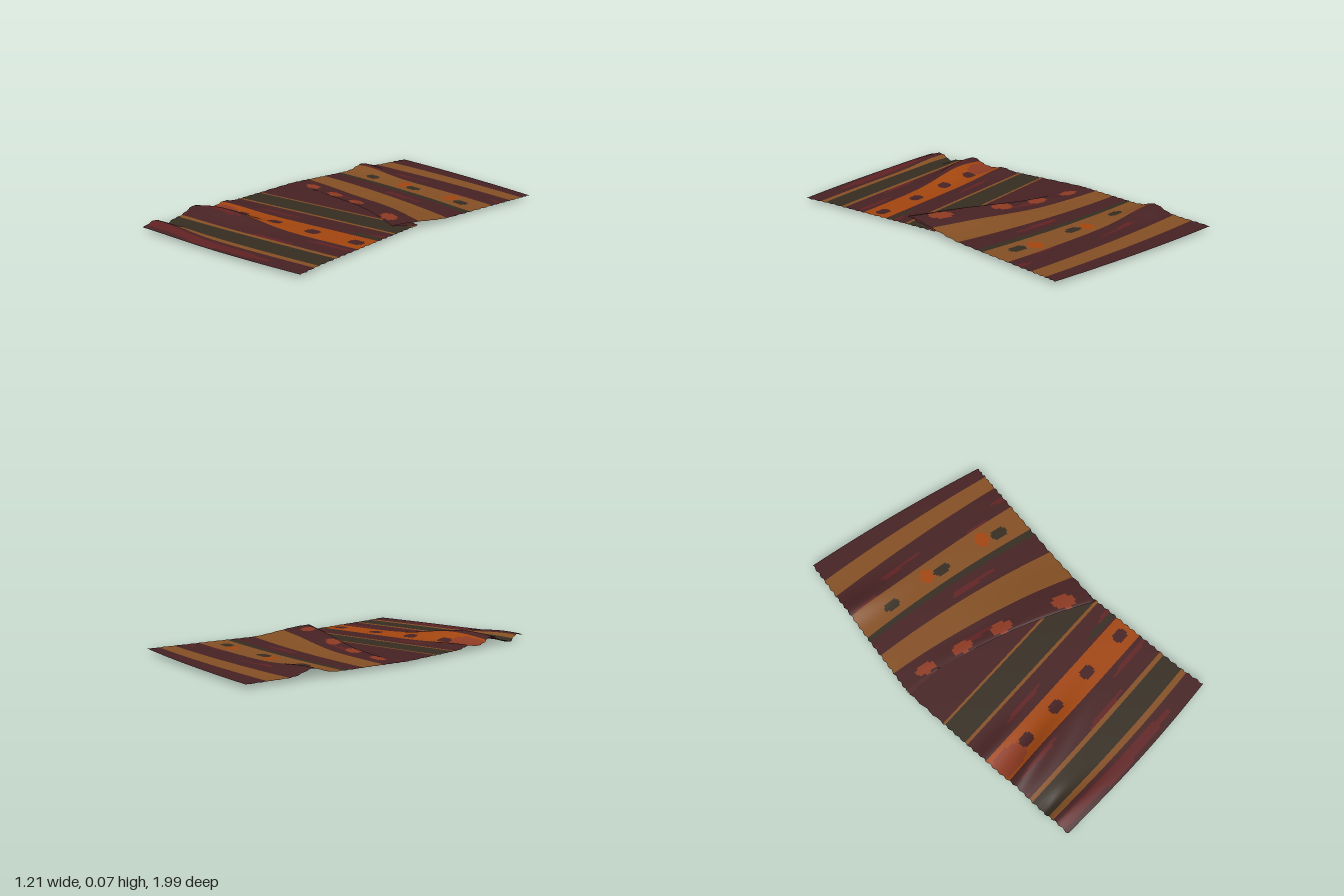
import * as THREE from 'three';

const COLORS = {
  maroon: 0x472223, darkRed: 0x612223, ochre: 0x855024,
  orange: 0xa3460f, olive: 0x362d21, rust: 0x8e3a22,
};
const NAMES = Object.keys(COLORS);
const { lerp, smoothstep } = THREE.MathUtils;
const COLS = 104;

// Height of a soft crease: ridge of height h around (cx, cz)
const crease = (x, z, cx, cz, h, w, d, slope = 0) =>
  h * Math.exp(-(((x - cx) / w) ** 2) - ((z - cz - slope * (x - cx)) / d) ** 2);

// Turned back half: t runs from the far end (0) to the pleat's lip (1)
function backPoint(u, t) {
  const tr = t - 0.58 * t * (1 - t);
  const sag = -(0.015 + 0.035 * t ** 3) * 4 * u * (1 - u);
  const x = lerp(lerp(-0.43, -0.6, t), lerp(0.6, 0.41, tr), u);
  const z = lerp(lerp(-1, -0.15, t), lerp(-0.73, 0.28, tr), u) + sag;
  const lift = 0.035 * smoothstep(u, 0.35, 0.85) * smoothstep(t, 0.72, 1);
  const y = 0.018 + lift
    + crease(x, z, -0.46, -0.65, 0.03, 0.22, 0.07, 0.2)
    + crease(x, z, -0.1, 0, 0.008, 0.25, 0.05, 0.45);
  return [x, y, z];
}

// Straight front half: v is its depth z, starting at a slanted hidden seam
function frontPoint(u, v) {
  const seam = lerp(-0.11, 0.09, u) - 0.16 * u * (1 - u);
  const x = lerp(-0.605, 0.43 + 0.01 * smoothstep(v, 0.8, 0.97), u);
  const wave = smoothstep(v, 0.6, 0.97) * (0.022 * Math.sin(u * 2.6) - 0.015 * (1 - u));
  const z = (v < 0.12 ? lerp(seam, 0.12, v / 0.12) : v) + wave;
  const y = 0.017
    + crease(x, z, -0.44, 0.6, 0.052, 0.28, 0.065, -0.1)
    + crease(x, z, -0.52, 0.89, 0.024, 0.22, 0.05, 0.1)
    + crease(x, z, -0.58, 0.8, -0.018, 0.1, 0.03)
    + crease(x, z, -0.55, 0.4, 0.014, 0.2, 0.05);
  return [x, Math.max(0, y), z];
}

// Underside of the pleat, from the lip back to the hidden seam
function underPoint(u, v) {
  const seam = frontPoint(u, 0);
  return backPoint(u, 1).map((value, i) => lerp(value, seam[i], v));
}

// Each stripe is a colour and where it ends; each motif repeats along u
const PANELS = [
  {
    point: backPoint, start: 0, step: 0.014,
    stripes: [['maroon', 0.13], ['ochre', 0.26], ['maroon', 0.435], ['ochre', 0.6],
      ['olive', 0.635], ['maroon', 0.74], ['ochre', 0.88], ['maroon', 1]],
    motifs: [
      { color: 'olive', us: [0.2, 0.51, 0.86], v: 0.53, w: 0.045, d: 0.03 },
      { color: 'orange', us: [0.43, 0.77], v: 0.51, w: 0.035, d: 0.045 },
      { color: 'rust', us: [0.14, 0.35, 0.56, 0.88], v: 0.965, w: 0.055, d: 0.03 },
    ],
  },
  { point: underPoint, start: 0, step: 0.1, stripes: [['maroon', 1]], motifs: [] },
  {
    point: frontPoint, start: 0, step: 0.012,
    stripes: [['maroon', 0.12], ['ochre', 0.133], ['olive', 0.27], ['ochre', 0.287],
      ['maroon', 0.415], ['orange', 0.57], ['maroon', 0.705], ['ochre', 0.728],
      ['olive', 0.84], ['ochre', 0.87], ['maroon', 0.97]],
    motifs: [
      { color: 'maroon', us: [0.21, 0.43, 0.67, 0.93], v: 0.493, w: 0.04, d: 0.034 },
      { color: 'rust', us: [0.07], v: 0.5, w: 0.12, d: 0.06 },
      { color: 'olive', us: [0.94], v: 0.385, w: 0.13, d: 0.018 },
      { color: 'darkRed', us: [0.3], v: 0.92, w: 0.5, d: 0.03 },
    ],
  },
];

// Colour of a cell: motif first, then faint streaks in the maroon, then stripe
function cellColor(motifs, stripe, u, v) {
  const hit = motifs.find((m) =>
    m.us.some((c) => ((u - c) / m.w) ** 2 + ((v - m.v) / m.d) ** 2 < 1));
  if (hit) return hit.color;
  const streak = Math.sin(v * 75) + Math.sin(u * 9 + v * 31);
  return stripe === 'maroon' && streak > 1.45 && v > 0.3 ? 'darkRed' : stripe;
}

// Rows of the whole cloth, with a row exactly on every stripe border
function makeRows() {
  const rows = [];
  for (const { point, start, step, stripes, motifs } of PANELS) {
    let from = start;
    for (const [stripe, to] of stripes) {
      const count = Math.max(2, Math.round((to - from) / step));
      for (let k = 0; k < count; k++) {
        rows.push({ point, motifs, stripe, v: lerp(from, to, k / count), dv: (to - from) / count });
      }
      from = to;
    }
  }
  rows.push({ point: frontPoint, v: 0.97 });
  return rows;
}

function makeCloth() {
  const rows = makeRows();
  const positions = [];
  const cells = NAMES.map(() => []);
  rows.forEach(({ point, motifs, stripe, v, dv }, r) => {
    for (let c = 0; c <= COLS; c++) {
      const [x, y, z] = point(c / COLS, v);
      // frayed side edges
      const fray = c === 0 || c === COLS ? 0.004 * Math.sin(r * 1.7) : 0;
      positions.push(x + fray, y, z);
      // sort the cells by colour
      if (c < COLS && r < rows.length - 1) {
        const color = cellColor(motifs, stripe, (c + 0.5) / COLS, v + dv / 2);
        const a = r * (COLS + 1) + c, b = a + COLS + 1;
        cells[NAMES.indexOf(color)].push(a, b, a + 1, a + 1, b, b + 1);
      }
    }
  });
  const geometry = new THREE.BufferGeometry();
  geometry.setAttribute('position', new THREE.Float32BufferAttribute(positions, 3));
  geometry.setIndex(cells.flat());
  let first = 0;
  cells.forEach((list, i) => {
    geometry.addGroup(first, list.length, i);
    first += list.length;
  });
  geometry.computeVertexNormals();
  return geometry;
}

export function createModel() {
  const materials = NAMES.map((name) => {
    const material = new THREE.MeshStandardMaterial({ color: COLORS[name], side: THREE.DoubleSide });
    material.name = name;
    return material;
  });
  const rug = new THREE.Mesh(makeCloth(), materials);
  rug.name = 'wovenRug';
  const group = new THREE.Group();
  group.name = 'foldedRug';
  group.add(rug);
  return group;
}
